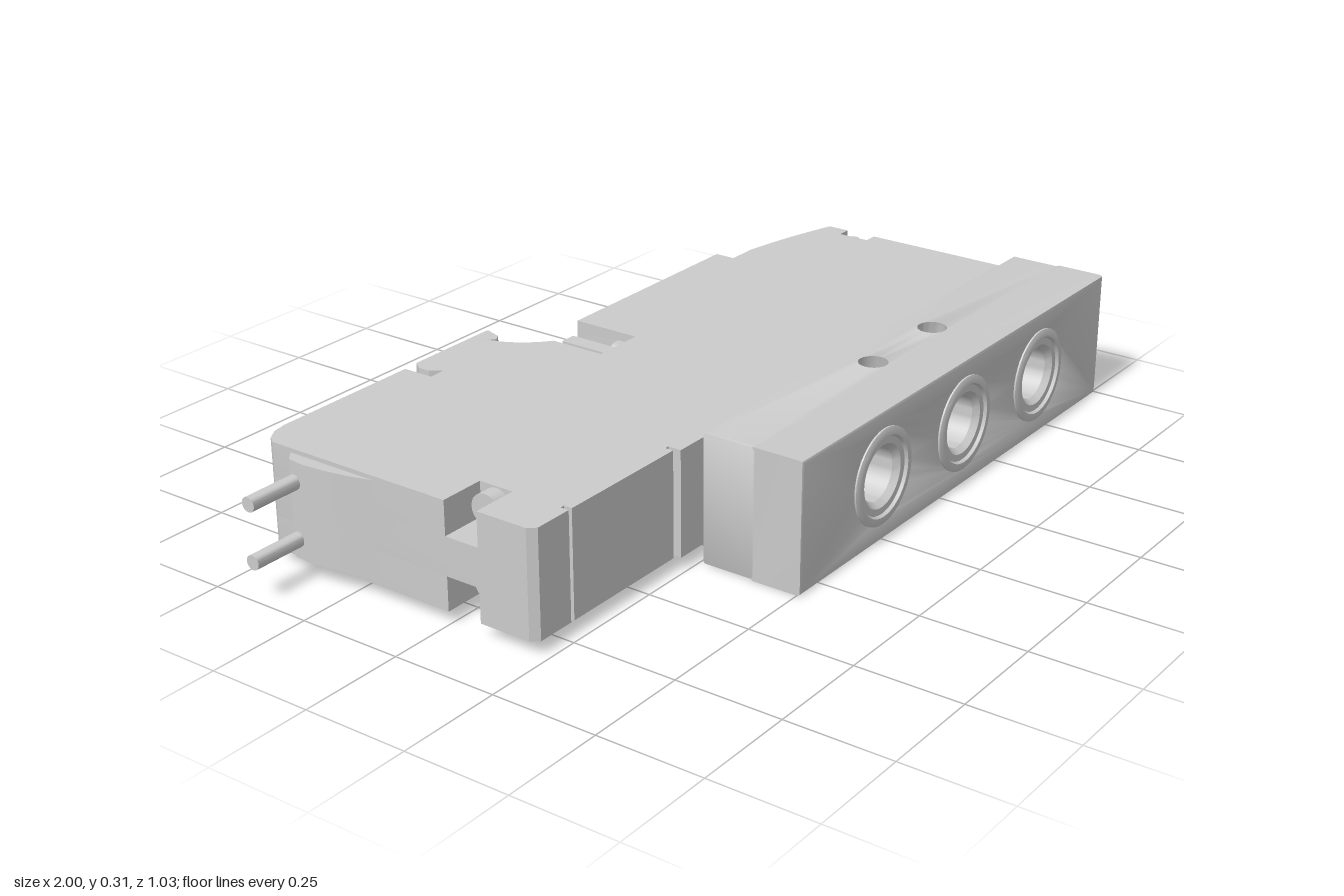
import * as THREE from 'three';
import { toCreasedNormals } from 'three/addons/utils/BufferGeometryUtils.js';

const material = new THREE.MeshStandardMaterial({ color: 0xcccccc, side: THREE.DoubleSide });
const BODY_Y = [0.03, 0.11, 0.2, 0.28]; // bottom, middle and top layers of the body

export function createModel() {
  const model = new THREE.Group();

  const add = (name, geometry, x = 0, y = 0, z = 0) => {
    const mesh = new THREE.Mesh(toCreasedNormals(geometry, 0.6), material);
    mesh.name = name;
    mesh.position.set(x, y, z);
    model.add(mesh);
    return mesh;
  };
  const addHoles = (shape, holes) => holes.forEach(([x, y, r]) =>
    shape.holes.push(new THREE.Path().absarc(x, y, r, 0, Math.PI * 2, true)));
  const bevelOptions = (depth, b) => ({
    depth: depth - 2 * b, bevelEnabled: b > 0, bevelSize: b, bevelThickness: b,
    bevelOffset: -b, bevelSegments: 2, curveSegments: 20,
  });

  // Extrudes a footprint of [x, z] points from y0 up to y1
  const plan = (name, points, y0, y1, holes = [], b = 0) => {
    const shape = new THREE.Shape(points.map(([x, z]) => new THREE.Vector2(x, -z)));
    addHoles(shape, holes.map(([x, z, r]) => [x, -z, r]));
    const geo = new THREE.ExtrudeGeometry(shape, bevelOptions(y1 - y0, b));
    return add(name, geo.rotateX(-Math.PI / 2), 0, y0 + b, 0);
  };
  // Extrudes an upright shape from z0 forward to z1
  const upright = (name, shape, z0, z1, holes = [], b = 0) => {
    addHoles(shape, holes);
    return add(name, new THREE.ExtrudeGeometry(shape, bevelOptions(z1 - z0, b)), 0, 0, z0 + b);
  };
  const rect = (x0, y0, x1, y1) => [[x0, y0], [x1, y0], [x1, y1], [x0, y1]];
  const rectShape = (...r) => new THREE.Shape(rect(...r).map(p => new THREE.Vector2(...p)));
  const rodX = (name, r, length, x, y, z) =>
    add(name, new THREE.CylinderGeometry(r, r, length, 24).rotateZ(Math.PI / 2), x, y, z);
  const rodZ = (name, r, length, x, y, z) =>
    add(name, new THREE.CylinderGeometry(r, r, length, 24).rotateX(Math.PI / 2), x, y, z);

  // Manifold block: rear half with bolt holes, front half with three ports
  const portXs = [-0.01, 0.335, 0.68], portY = 0.155;
  plan('manifoldRear', rect(-0.325, 0.262, 0.998, 0.39), 0, 0.308,
    [[0.205, 0.345, 0.042], [0.46, 0.345, 0.042]], 0.008);
  upright('manifoldFront', rectShape(-0.325, 0, 0.998, 0.308), 0.38, 0.508,
    portXs.map(x => [x, portY, 0.1]), 0.008);

  // Stepped port with a raised collar; profile is [radius, depth]
  const portProfile = [[0.113, -0.02], [0.113, 0.006], [0.105, 0.009], [0.094, 0.009], [0.09, 0.002],
    [0.074, 0.002], [0.062, -0.012], [0.062, -0.08], [0.052, -0.085], [0.052, -0.1], [0, -0.122]]
    .map(p => new THREE.Vector2(...p));
  for (const x of portXs)
    add('frontPort', new THREE.LatheGeometry(portProfile, 40).rotateX(Math.PI / 2), x, portY, 0.506);

  // Gasket between the manifold and the valve body
  plan('gasket', rect(-0.095, 0.23, 0.76, 0.268), 0.045, 0.265);

  // Valve body and pilot, stacked in layers so that screw slots open at top and bottom
  const corner = new THREE.QuadraticBezierCurve(new THREE.Vector2(0.72, -0.333),
    new THREE.Vector2(0.84, -0.315), new THREE.Vector2(0.98, -0.27)).getPoints(8).map(p => [p.x, p.y]);
  const scoop = new THREE.QuadraticBezierCurve(new THREE.Vector2(-0.148, -0.495),
    new THREE.Vector2(-0.135, -0.41), new THREE.Vector2(-0.06, -0.352)).getPoints(8).map(p => [p.x, p.y]);
  const lip = [[-0.104, -0.518], [-0.1, -0.512], [-0.104, -0.502], [-0.112, -0.475], [-0.128, -0.466], [-0.142, -0.474]];
  const endSlot = (z) => [[0.98, z - 0.04], [0.945, z - 0.04], [0.945, z + 0.04], [0.98, z + 0.04]];

  for (let i = 0; i < 3; i++) {
    const y0 = BODY_Y[i], y1 = BODY_Y[i + 1];
    plan('valveBody', [
      [-0.375, -0.438], [-0.342, -0.44], [-0.362, -0.465], [-0.362, -0.495], [-0.345, -0.518],
      ...(i === 1 ? [[-0.15, -0.518]] : lip), ...scoop,
      [-0.06, -0.215], [-0.05, -0.215], [0.72, -0.215], ...corner,
      ...(i === 2 ? endSlot(-0.175) : []), ...(i === 0 ? endSlot(0.18) : []),
      [0.98, 0.24], [-0.375, 0.24],
    ], y0, y1);

    plan('pilotBody', [
      [-0.375, -0.438], [-0.385, -0.438], [-0.385, -0.515], [-0.765, -0.515], [-0.8, -0.508],
      [-0.828, -0.49], [-0.84, -0.472],
      ...(i === 1 ? [] : [[-0.84, 0], [-0.73, 0], [-0.73, 0.085], [-0.84, 0.085]]),
      [-0.84, 0.21], [-0.825, 0.228], [-0.73, 0.228], [-0.73, 0.208], [-0.72, 0.208], [-0.72, 0.228],
      [-0.385, 0.228], [-0.385, 0.208], [-0.375, 0.208],
    ], y0, y1);
  }

  // Screw heads seated in the end slots
  rodX('endScrew', 0.039, 0.02, 0.945, 0.24, -0.175);
  rodX('endScrew', 0.039, 0.02, 0.945, 0.07, 0.18);
  for (const y of [0.07, 0.24]) rodX('pilotScrew', 0.036, 0.04, -0.745, y, 0.042);

  // Back port block: wide base and raised face, with slots for diagonal mounting screws
  const slottedBase = new THREE.Shape();
  slottedBase.moveTo(-0.05, 0.03).lineTo(0.61, 0.03).lineTo(0.61, 0.07);
  slottedBase.absarc(0.65, 0.07, 0.04, Math.PI, 0, true);
  slottedBase.lineTo(0.69, 0.03).lineTo(0.72, 0.03).lineTo(0.72, 0.28).lineTo(0.07, 0.28).lineTo(0.07, 0.24);
  slottedBase.absarc(0.03, 0.24, 0.04, 0, Math.PI, true);
  slottedBase.lineTo(-0.01, 0.28).lineTo(-0.05, 0.28);

  const raisedFace = new THREE.Shape();
  raisedFace.moveTo(0.03, 0.03).lineTo(0.61, 0.03).lineTo(0.61, 0.07);
  raisedFace.absarc(0.65, 0.07, 0.04, Math.PI, Math.PI * 0.62, true);
  raisedFace.lineTo(0.635, 0.28).lineTo(0.07, 0.28).lineTo(0.07, 0.24);
  raisedFace.absarc(0.03, 0.24, 0.04, 0, -Math.PI / 2, true);

  const backPorts = [0.16, 0.5].map(x => [x, 0.155, 0.06]);
  upright('backPortBase', slottedBase, -0.335, -0.215, [...backPorts, [0.685, 0.155, 0.03]]);
  upright('backPortFace', raisedFace, -0.386, -0.335, backPorts);
  rodZ('mountingScrew', 0.036, 0.03, 0.03, 0.24, -0.225);
  rodZ('mountingScrew', 0.036, 0.03, 0.65, 0.07, -0.225);

  // Lead cover and two lead wires
  plan('leadCover', [[-0.835, -0.425], [-0.866, -0.4], [-0.87, -0.36], [-0.865, -0.3],
    [-0.855, -0.245], [-0.84, -0.19], [-0.83, -0.19]], 0.045, 0.27);
  for (const y of [0.09, 0.222]) rodX('leadWire', 0.017, 0.15, -0.925, y, -0.387);

  return model;
}
